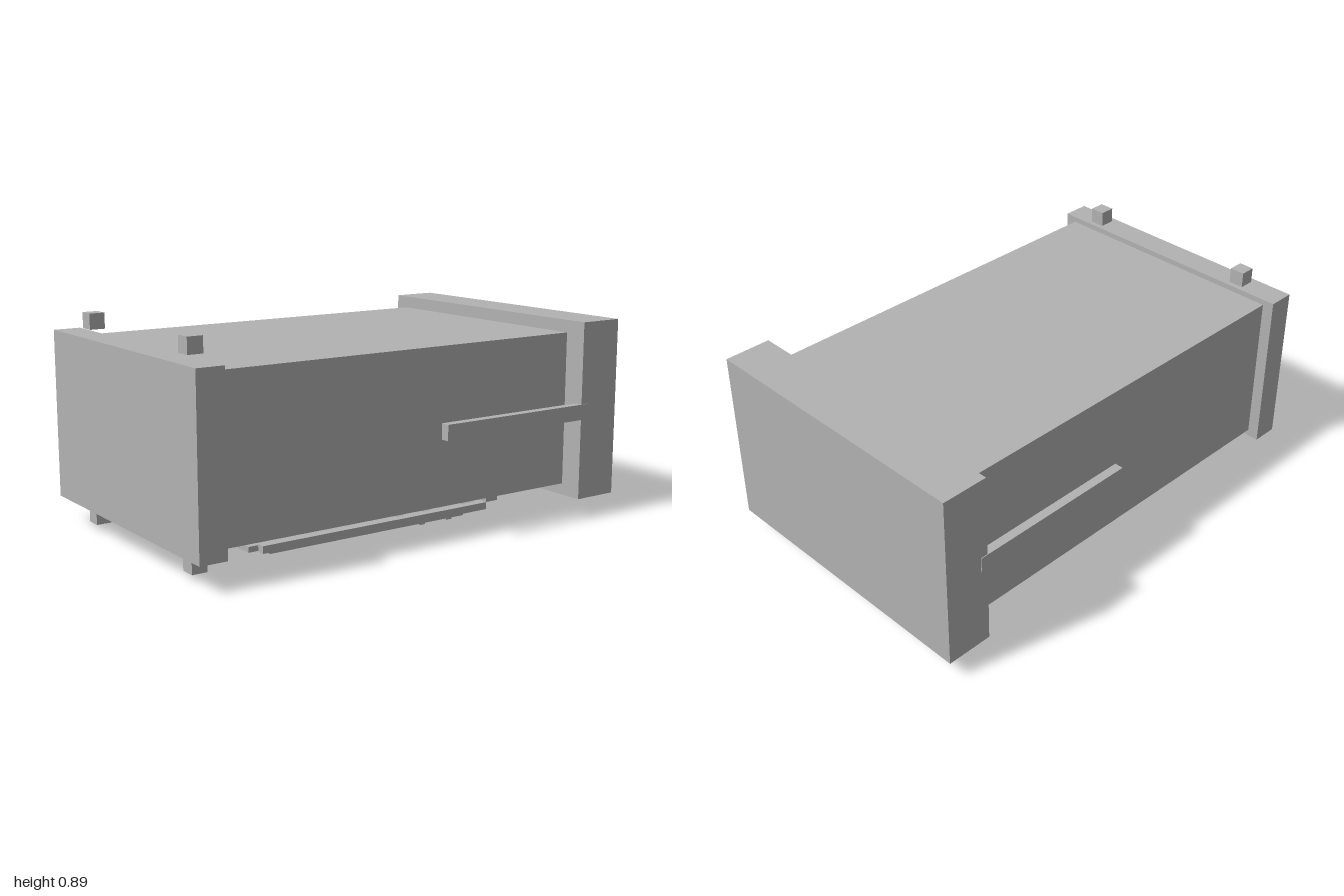
import * as THREE from 'three';

export function createModel() {
  const model = new THREE.Group();
  const grey = new THREE.MeshStandardMaterial({ color: 0xb2b2b2 });
  grey.name = 'plain grey';

  // Box given by its extents along each axis
  function box(name, [x0, x1], [y0, y1], [z0, z1]) {
    const mesh = new THREE.Mesh(new THREE.BoxGeometry(x1 - x0, y1 - y0, z1 - z0), grey);
    mesh.position.set((x0 + x1) / 2, (y0 + y1) / 2, (z0 + z1) / 2);
    mesh.name = name;
    model.add(mesh);
  }
  // The same box on both sides
  function pair(name, [x0, x1], y, z) {
    box(name + 'Left', [x0, x1], y, z);
    box(name + 'Right', [-x1, -x0], y, z);
  }

  // Main case with its end blocks
  box('body', [-0.543, 0.543], [0.137, 0.784], [-0.788, 0.885]);
  box('frontPlate', [-0.593, 0.593], [0.108, 0.808], [0.885, 1]);
  box('backBlock', [-0.627, 0.627], [0.083, 0.834], [-1, -0.802]);

  // Rails along the sides
  pair('sideRail', [0.592, 0.63], [0.425, 0.49], [-0.835, -0.082]);

  // Studs above and below the front plate
  pair('topStud', [0.367, 0.432], [0.828, 0.893], [0.878, 0.943]);
  pair('bottomStud', [0.367, 0.432], [0.024, 0.089], [0.878, 0.943]);

  // U-shaped frame under the body
  pair('outerFrameRail', [0.397, 0.432], [0.05, 0.08], [-0.46, 0.64]);
  box('outerFrameBack', [-0.397, 0.397], [0.05, 0.08], [-0.46, -0.427]);

  // Inner runners, front panel and cross bars
  pair('innerRunner', [0.336, 0.368], [0.021, 0.043], [-0.39, 0.572]);
  box('underPanel', [-0.327, 0.327], [0.028, 0.051], [0.372, 0.64]);
  box('frontBar', [-0.2, 0.2], [0.028, 0.051], [0.77, 0.834]);
  box('backBar', [-0.285, 0.285], [0.028, 0.051], [-0.653, -0.59]);
  for (const z of [-0.203, -0.345]) {
    box('crossFoot', [-0.327, 0.327], [0, 0.022], [z - 0.015, z + 0.015]);
  }
  return model;
}
